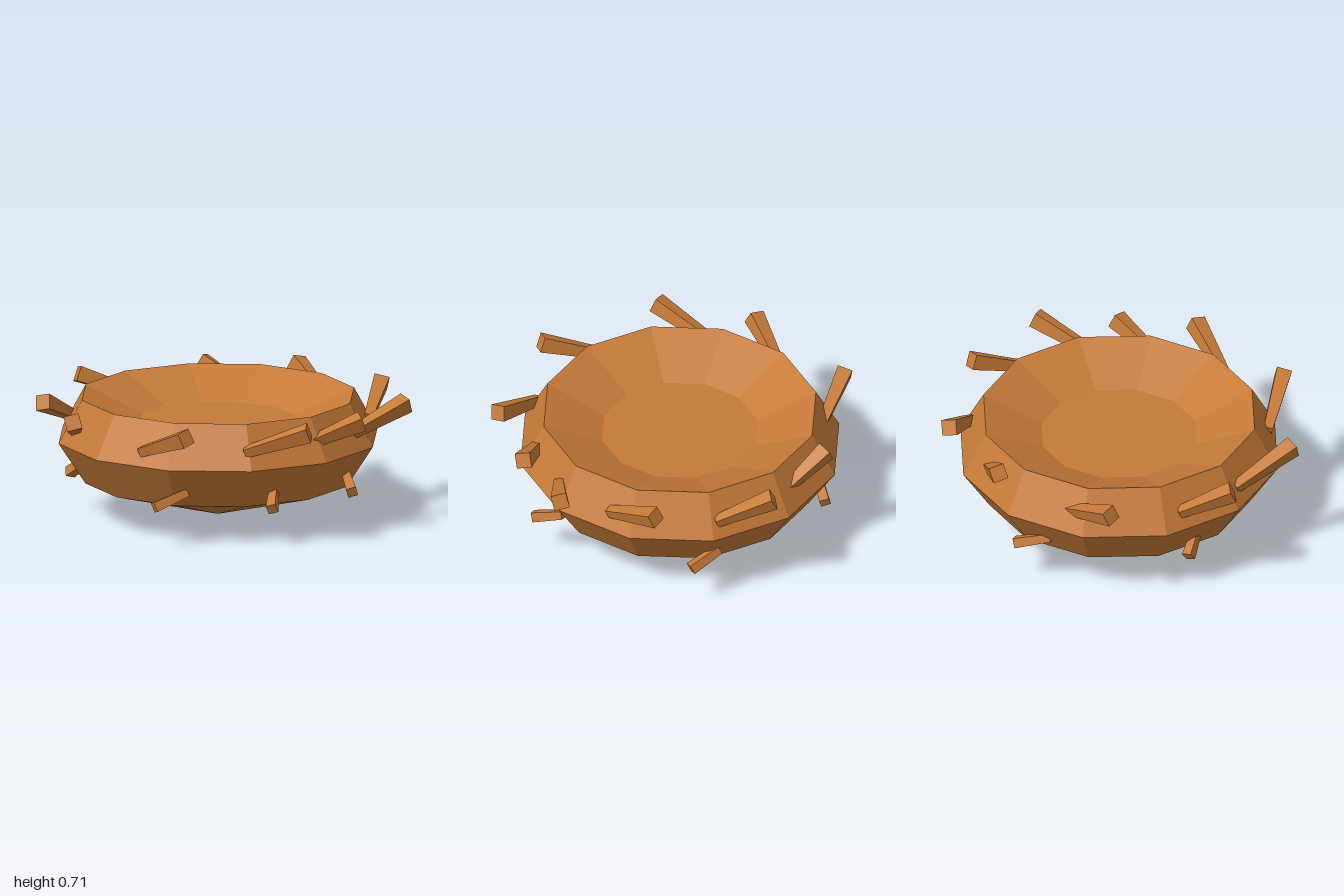
import * as THREE from 'three';

export function createModel() {
  const model = new THREE.Group();
  model.name = 'nest';
  const twig = new THREE.MeshStandardMaterial({ color: 0xc67a38, flatShading: true });
  twig.name = 'twig brown';

  // Twelve-sided bowl: pointed underside, wide belly, rim, shallow flat hollow
  const profile = [[0, 0], [0.74, 0.205], [0.89, 0.435], [0.76, 0.673], [0.435, 0.53], [0, 0.53]];
  const bowl = new THREE.Mesh(
    new THREE.LatheGeometry(profile.map(([r, y]) => new THREE.Vector2(r, y)), 12), twig);
  bowl.name = 'bowl';
  bowl.position.z = -0.04;
  model.add(bowl);

  // A square stick running from its buried inner end to its thicker outer end
  function addStick(name, inner, outer, innerSize, outerSize, roll) {
    const a = new THREE.Vector3(...inner), b = new THREE.Vector3(...outer);
    const geo = new THREE.BoxGeometry(1, 1, a.distanceTo(b));
    const pos = geo.attributes.position;
    for (let i = 0; i < pos.count; i++) {
      const s = pos.getZ(i) > 0 ? outerSize : innerSize;
      pos.setXY(i, pos.getX(i) * s, pos.getY(i) * s);
    }
    geo.computeVertexNormals();
    const stick = new THREE.Mesh(geo, twig);
    stick.name = name;
    stick.position.copy(a).add(b).multiplyScalar(0.5);
    stick.lookAt(b);
    stick.rotateZ(roll);
    model.add(stick);
  }

  // Upper ring of sticks: inner x, y, z, outer x, y, z
  const upper = [
    [-0.30, 0.53, -0.76, -0.63, 0.65, -0.78],
    [0.30, 0.53, -0.76, 0.09, 0.66, -0.91],
    [0.70, 0.52, -0.48, 0.59, 0.66, -0.77],
    [0.81, 0.53, 0.10, 0.945, 0.66, -0.21],
    [0.65, 0.53, 0.44, 0.975, 0.66, 0.33],
    [0.38, 0.54, 0.65, 0.66, 0.64, 0.645],
    [-0.02, 0.53, 0.78, 0.31, 0.65, 0.905],
    [-0.55, 0.51, 0.56, -0.37, 0.645, 0.88],
    [-0.81, 0.52, 0.02, -0.90, 0.65, 0.39],
    [-0.75, 0.52, -0.36, -0.955, 0.645, -0.155],
  ];
  for (const p of upper) addStick('upperStick', p.slice(0, 3), p.slice(3), 0.05, 0.085, 0.25);

  // Lower ring of smaller sticks, drooping outward
  const lower = [
    [-0.32, 0.29, 0.66, -0.51, 0.225, 0.70],
    [0.16, 0.28, 0.69, 0.12, 0.215, 0.83],
    [0.62, 0.29, 0.43, 0.615, 0.235, 0.60],
    [0.66, 0.30, -0.48, 0.79, 0.23, -0.36],
    [-0.17, 0.29, -0.77, 0.00, 0.23, -0.875],
    [-0.72, 0.28, -0.20, -0.77, 0.21, -0.31],
  ];
  for (const p of lower) addStick('lowerStick', p.slice(0, 3), p.slice(3), 0.045, 0.055, 0.3);

  return model;
}
